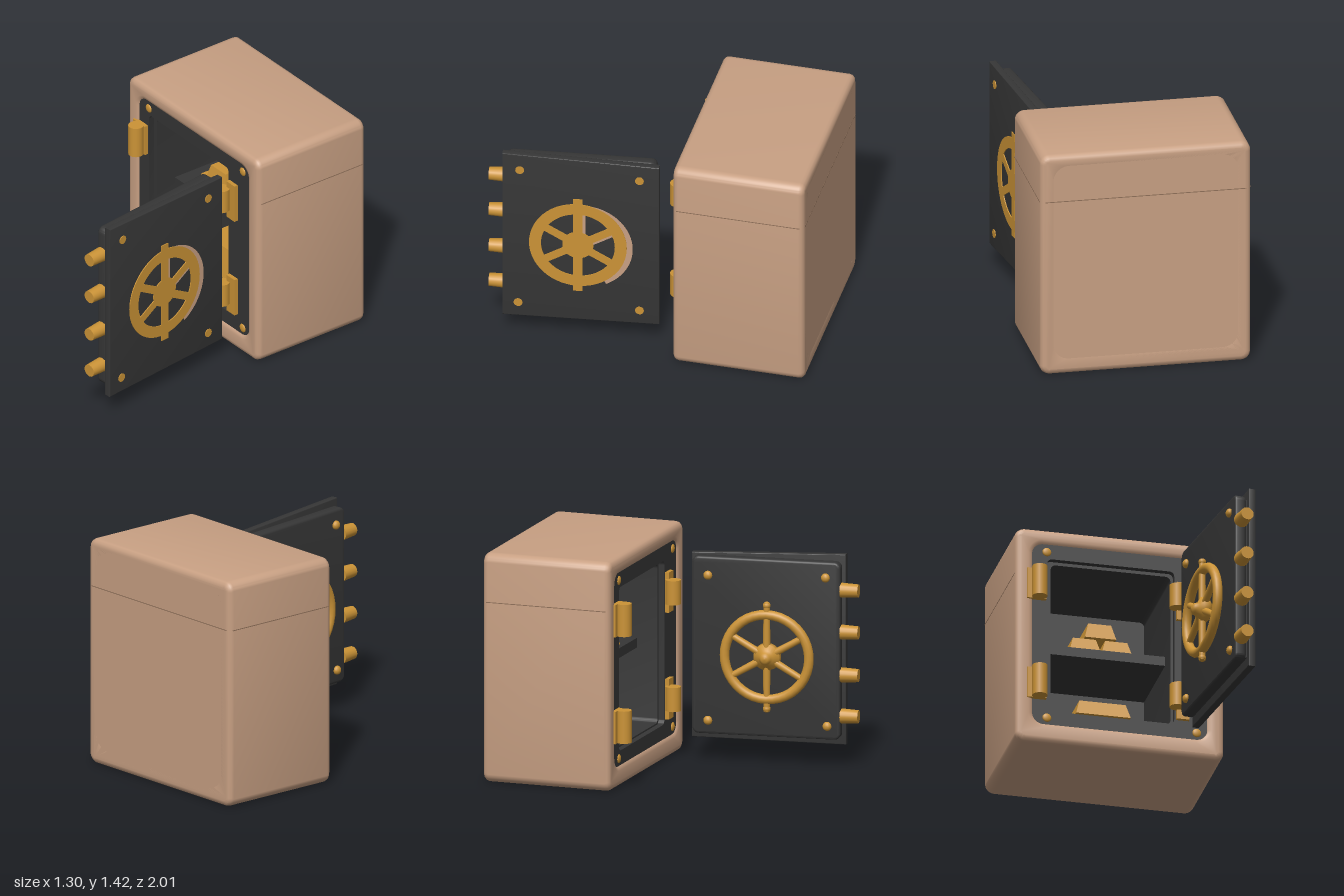
import * as THREE from 'three';
import { toCreasedNormals } from 'three/addons/utils/BufferGeometryUtils.js';

const mat = (name, color) => {
  const m = new THREE.MeshStandardMaterial({ color });
  m.name = name;
  return m;
};

// Rounded rectangle between two corners, usable as outline or hole
function roundRect(x0, y0, x1, y1, r, Type = THREE.Shape) {
  const s = new Type();
  s.absarc(x1 - r, y0 + r, r, -Math.PI / 2, 0);
  s.absarc(x1 - r, y1 - r, r, 0, Math.PI / 2);
  s.absarc(x0 + r, y1 - r, r, Math.PI / 2, Math.PI);
  s.absarc(x0 + r, y0 + r, r, Math.PI, Math.PI * 1.5);
  s.closePath();
  return s;
}

// Extrude a shape so that it fills z0..z1, bevel included
function slab(shape, z0, z1, bevel = 0, hole = null) {
  if (hole) shape.holes.push(hole);
  const g = new THREE.ExtrudeGeometry(shape, {
    depth: z1 - z0 - 2 * bevel, bevelEnabled: bevel > 0, bevelThickness: bevel,
    bevelSize: bevel, bevelOffset: -bevel, bevelSegments: 3, curveSegments: 6,
  });
  g.translate(0, 0, z0 + bevel);
  return toCreasedNormals(g, 0.7);
}

export function createModel() {
  const tan = mat('tan paint', 0xc8a083);
  const dark = mat('dark steel', 0x363636);
  const gold = mat('gold', 0xcb9336);
  const seamColor = mat('seam brown', 0x8f7059);

  const model = new THREE.Group();
  model.name = 'safe';
  const add = (parent, name, geo, material, x = 0, y = 0, z = 0) => {
    const m = new THREE.Mesh(geo, material);
    m.name = name;
    m.position.set(x, y, z);
    parent.add(m);
    return m;
  };
  const box = (w, h, d) => new THREE.BoxGeometry(w, h, d);

  // Outer casing with closed back
  add(model, 'casing', slab(roundRect(-0.65, 0, 0.65, 1.42, 0.06), -1, -0.18, 0.035,
    roundRect(-0.535, 0.135, 0.535, 1.315, 0.06, THREE.Path)), tan);
  add(model, 'casingBack', box(1.2, 1.32, 0.05), tan, 0, 0.71, -0.975);
  for (const s of [-1, 1]) add(model, 'sideSeam', box(0.004, 0.005, 0.77), seamColor, s * 0.649, 1.12, -0.59);
  add(model, 'backSeam', box(1.24, 0.005, 0.004), seamColor, 0, 1.12, -0.999);

  // Dark front frame and the lined compartment behind it
  add(model, 'frontFrame', slab(roundRect(-0.56, 0.11, 0.56, 1.34, 0.07), -0.27, -0.192, 0,
    roundRect(-0.45, 0.215, 0.34, 1.23, 0.03, THREE.Path)), dark);
  add(model, 'lining', slab(roundRect(-0.55, 0.12, 0.55, 1.33, 0.06), -0.93, -0.23, 0,
    roundRect(-0.42, 0.225, 0.325, 1.21, 0.03, THREE.Path)), dark);
  add(model, 'compartmentBack', box(1.0, 1.1, 0.03), dark, 0, 0.71, -0.92);
  add(model, 'shelf', box(0.76, 0.06, 0.55), dark, -0.05, 0.71, -0.64);

  // Gold bars: [left, right, bottom, height]
  const bars = [
    [-0.285, -0.055, 0.225, 0.1], [-0.05, 0.18, 0.225, 0.1], [-0.22, 0.12, 0.325, 0.095],
    [-0.26, -0.065, 0.74, 0.095], [-0.06, 0.13, 0.74, 0.095], [-0.165, 0.03, 0.837, 0.103],
  ];
  for (const [x0, x1, y, h] of bars) {
    const g = box(x1 - x0, h, 0.36);
    const p = g.attributes.position;
    for (let i = 0; i < p.count; i++) if (p.getY(i) > 0) {
      p.setX(i, p.getX(i) - Math.sign(p.getX(i)) * 0.026);
      p.setZ(i, p.getZ(i) - Math.sign(p.getZ(i)) * 0.026);
    }
    g.computeVertexNormals();
    add(model, 'goldBar', g, gold, (x0 + x1) / 2, y + h / 2, -0.58);
  }

  // Hinges on both sides of the opening
  for (const y of [1.05, 0.388]) {
    add(model, 'leftHingePlate', box(0.12, 0.2, 0.03), gold, -0.52, y, -0.182);
    add(model, 'leftHingeBarrel', new THREE.CylinderGeometry(0.047, 0.047, 0.2, 20), gold, -0.51, y, -0.137);
    add(model, 'rightHingePlate', box(0.08, 0.25, 0.03), gold, 0.39, y - 0.02, -0.182);
    add(model, 'rightHingeBarrel', new THREE.CylinderGeometry(0.047, 0.047, 0.15, 20), gold, 0.345, y - 0.01, -0.137);
  }

  // Frame screws
  for (const x of [-0.453, 0.48]) for (const y of [0.17, 1.275]) {
    const s = add(model, 'frameScrew', new THREE.SphereGeometry(0.028, 14, 8), gold, x, y, -0.192);
    s.scale.z = 0.4;
  }

  // Open door: local x runs away from the hinge, local z points to its inner side
  const door = new THREE.Group();
  door.name = 'door';
  door.position.set(0.46, 0, -0.05);
  door.rotation.y = -1.443;
  model.add(door);
  const outline = new THREE.Shape([[0, 0.135], [0.957, 0.132], [0.957, 1.312], [0, 1.28]]
    .map(([x, y]) => new THREE.Vector2(x, y)));
  add(door, 'outerPanel', slab(outline, 0, 0.045, 0.005), dark);
  add(door, 'panelCore', box(0.9, 1.05, 0.04), dark, 0.48, 0.72, 0.05);
  add(door, 'innerPanel', slab(roundRect(0.02, 0.175, 0.94, 1.275, 0.04), 0.053, 0.125, 0.015), dark);

  // Locking bolts
  for (const y of [0.32, 0.575, 0.84, 1.1]) {
    const b = add(door, 'lockingBolt', new THREE.CylinderGeometry(0.04, 0.046, 0.11, 18), gold, 0.992, y, 0.088);
    b.rotation.z = -Math.PI / 2;
  }

  // Corner screws on both faces of the door
  for (const [x, y] of [[0.85, 1.2], [0.12, 1.18], [0.86, 0.23], [0.12, 0.23]]) {
    const o = add(door, 'outerScrew', new THREE.CylinderGeometry(0.027, 0.027, 0.008, 16), gold, x, y, -0.001);
    o.rotation.x = Math.PI / 2;
    const i = add(door, 'innerScrew', new THREE.SphereGeometry(0.028, 14, 8), gold, x, y - 0.02 + (y < 0.5 ? 0.05 : 0), 0.13);
    i.scale.z = 0.8;
  }

  // Raised handwheel on the inner side
  const wheel = new THREE.Group();
  wheel.name = 'handwheel';
  wheel.position.set(0.495, 0.68, 0.17);
  door.add(wheel);
  add(wheel, 'rim', new THREE.TorusGeometry(0.262, 0.03, 12, 40), gold);
  const hub = [[0, -0.05], [0.05, -0.05], [0.085, -0.02], [0.08, 0.015], [0.045, 0.03], [0.035, 0.055], [0.02, 0.067], [0, 0.07]];
  add(wheel, 'hub', new THREE.LatheGeometry(hub.map(([x, y]) => new THREE.Vector2(x, y)), 24), gold)
    .rotation.x = Math.PI / 2;

  // Flat wheel emblem on the outer side, with an offset tan edge
  const emblem = new THREE.Group();
  emblem.name = 'wheelEmblem';
  emblem.position.set(0.495, 0.68, 0);
  door.add(emblem);
  const ring = new THREE.Shape().absarc(0, 0, 0.298, 0, Math.PI * 2);
  const ringHole = new THREE.Path().absarc(0, 0, 0.225, 0, Math.PI * 2);
  add(emblem, 'flatRim', toCreasedNormals(new THREE.ExtrudeGeometry(
    Object.assign(ring, { holes: [ringHole] }), { depth: 0.007, bevelEnabled: false, curveSegments: 28 }), 0.7),
  gold, 0, 0, -0.006);
  add(emblem, 'flatHub', new THREE.CylinderGeometry(0.095, 0.095, 0.008, 24), gold, 0, 0, -0.002).rotation.x = Math.PI / 2;
  add(emblem, 'rimEdge', new THREE.RingGeometry(0.24, 0.298, 40, 1, -1.1, 2.5), tan, -0.036, -0.006, -0.003)
    .rotation.y = Math.PI;

  // Six spokes for both wheels; the two vertical ones pass the rim as grips
  for (let k = 0; k < 6; k++) {
    const a = Math.PI / 6 + k * Math.PI / 3;
    const grip = k % 3 === 1;
    const len = grip ? 0.335 : 0.25;
    const cx = Math.cos(a) * len / 2, cy = Math.sin(a) * len / 2;
    add(wheel, 'spoke', new THREE.CylinderGeometry(0.02, 0.024, len, 12), gold, cx, cy, 0).rotation.z = a - Math.PI / 2;
    add(emblem, 'flatSpoke', box(len, grip ? 0.058 : 0.05, 0.008), gold, cx, cy, -0.002).rotation.z = a;
    if (k === 1 || k === 2) {
      add(emblem, 'spokeEdge', box(0.22, 0.05, 0.006), tan, Math.cos(a) * 0.12 - 0.02, Math.sin(a) * 0.12 - 0.006, 0)
        .rotation.z = a;
    }
    if (grip) add(wheel, 'gripEnd', new THREE.SphereGeometry(0.024, 12, 8), gold, cx * 2, cy * 2 - Math.sin(a) * 0.015, 0);
  }
  return model;
}
